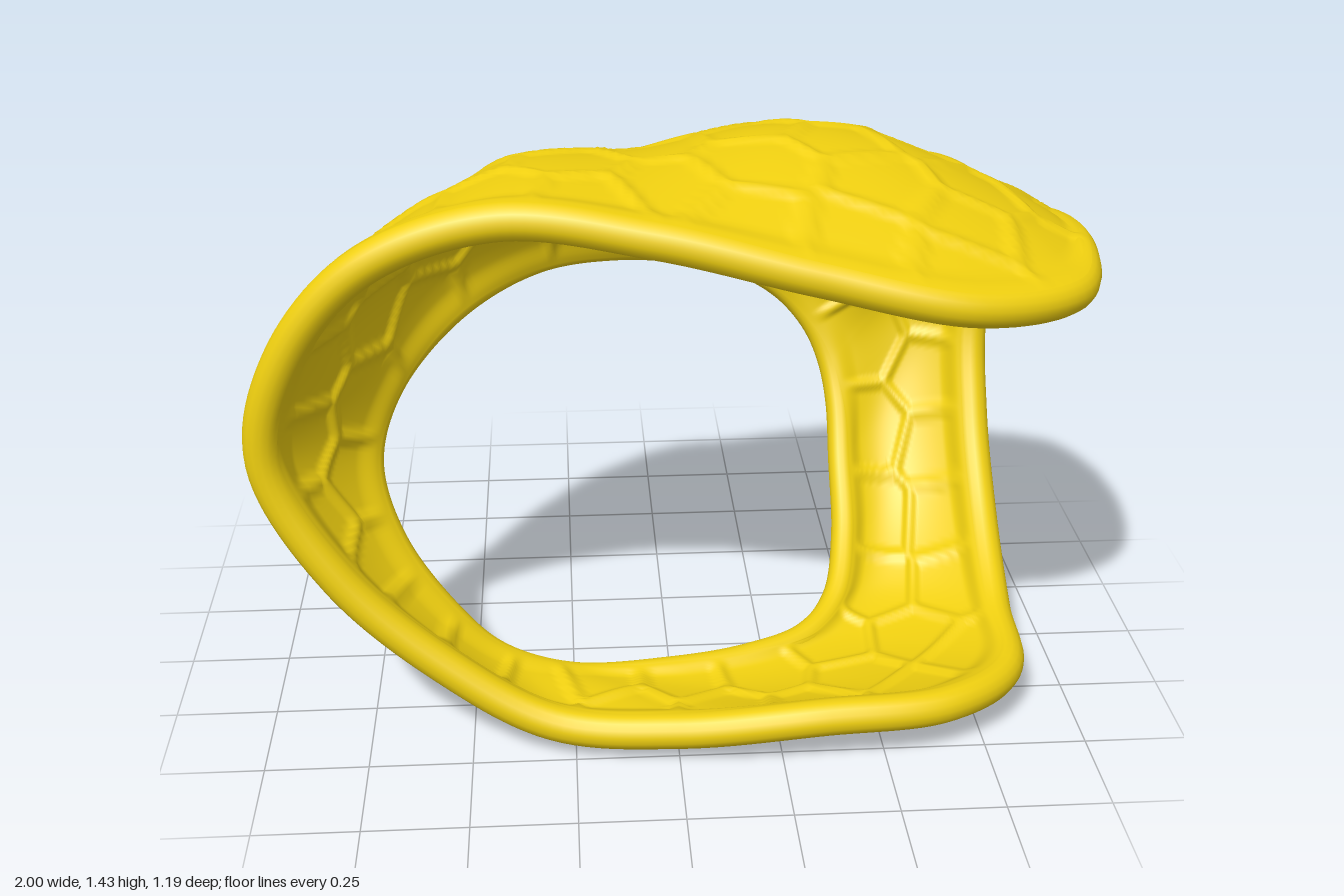
import * as THREE from 'three';

// Three matching loops of stations (left side, over the top, right side, underneath)
const FRONT = [
  [-.953, .75, .35], [-.885, 1.02, .37], [-.7, 1.24, .4], [-.4, 1.352, .43], [-.05, 1.32, .48], [.3, 1.245, .53],
  [.64, 1.175, .55], [.885, 1.155, .42], [.953, 1.17, .18], [.945, 1.11, -.16], [.91, .95, -.42], [.868, .75, -.47],
  [.86, .5, -.36], [.86, .28, -.165], [.85, .14, .09], [.825, .115, .34], [.65, .12, .495], [.35, .12, .535],
  [0, .08, .51], [-.3, .085, .465], [-.55, .22, .42], [-.8, .45, .38],
];
const MIDDLE = [
  [-.853, .68, .203], [-.795, .915, .15], [-.62, 1.125, -.035], [-.36, 1.29, -.1], [-.065, 1.32, -.09], [.24, 1.37, -.115],
  [.46, 1.345, -.15], [.605, 1.26, -.21], [.695, 1.15, -.31], [.735, 1.005, -.45], [.72, .845, -.545], [.69, .65, -.535],
  [.67, .45, -.455], [.665, .235, -.285], [.64, .1, -.085], [.58, .05, .11], [.42, .04, .27], [.2, .045, .355],
  [-.1, .065, .365], [-.37, .095, .345], [-.56, .21, .31], [-.757, .428, .26],
];
const BACK = [
  [-.745, .6, .07], [-.7, .75, -.03], [-.54, .89, -.22], [-.32, .955, -.4], [-.1, .96, -.47], [.1, .925, -.52],
  [.22, .885, -.55], [.32, .83, -.555], [.39, .77, -.55], [.45, .69, -.53], [.487, .6, -.5], [.505, .5, -.45],
  [.505, .36, -.355], [.497, .21, -.2], [.455, .11, -.04], [.36, .07, .085], [.2, .06, .165], [0, .06, .215],
  [-.26, .07, .24], [-.44, .135, .235], [-.55, .23, .21], [-.69, .42, .15],
];
const AROUND = 360, ACROSS = 84, CELLS = 72;
const FRONT_RIM = 0.045, BACK_RIM = 0.036, PANEL = 0.026, RIDGE = 0.011;
const { smoothstep, lerp } = THREE.MathUtils;

const loop = (pts) => new THREE.CatmullRomCurve3(pts.map((p) => new THREE.Vector3(...p)), true);

// Centre surface of the band: a parabola across it at every station
function sampleBand(front, middle, back) {
  const rows = [];
  for (let i = 0; i < AROUND; i++) {
    const [p, m, q] = [front, middle, back].map((c) => c.getPoint(i / AROUND));
    const row = [];
    for (let j = 0; j <= ACROSS; j++) {
      const v = j / ACROSS;
      row.push(new THREE.Vector3()
        .addScaledVector(p, (1 - v) * (1 - 2 * v))
        .addScaledVector(m, 4 * v * (1 - v))
        .addScaledVector(q, v * (2 * v - 1)));
    }
    rows.push(row);
  }
  return rows;
}

// Outward normal, with the local area as its length
function areaNormal(rows, i, j) {
  const du = rows[(i + 1) % AROUND][j].clone().sub(rows[(i + AROUND - 1) % AROUND][j]);
  const dv = rows[i][Math.min(j + 1, ACROSS)].clone().sub(rows[i][Math.max(j - 1, 0)]);
  return du.cross(dv);
}

// Evenly spread cell centres: farthest-point picks, then relaxed to centroids
function cellCentres(rows) {
  const samples = [];
  for (let i = 0; i < AROUND; i += 3) {
    for (let j = 2; j < ACROSS; j += 4) {
      samples.push({ p: rows[i][j], w: areaNormal(rows, i, j).length(), d: Infinity });
    }
  }
  const centres = [];
  let next = samples[7];
  for (let k = 0; k < CELLS; k++) {
    centres.push(next.p.clone());
    for (const s of samples) s.d = Math.min(s.d, s.p.distanceTo(centres[k]));
    next = samples.reduce((a, b) => (b.d > a.d ? b : a));
  }
  for (let pass = 0; pass < 30; pass++) {
    const sums = centres.map(() => ({ p: new THREE.Vector3(), w: 0 }));
    for (const s of samples) {
      let best = 0, dist = Infinity;
      centres.forEach((c, k) => {
        const d = c.distanceToSquared(s.p);
        if (d < dist) { best = k; dist = d; }
      });
      sums[best].p.addScaledVector(s.p, s.w);
      sums[best].w += s.w;
    }
    sums.forEach((s, k) => { if (s.w > 0) centres[k].copy(s.p).divideScalar(s.w); });
  }
  return centres;
}

// 1 on the border between two cells, fading to 0 inside a cell
function ridge(p, centres) {
  let a = null, b = null, da = Infinity, db = Infinity;
  for (const c of centres) {
    const d = c.distanceToSquared(p);
    if (d < da) { b = a; db = da; a = c; da = d; } else if (d < db) { b = c; db = d; }
  }
  const gap = (db - da) / (2 * a.distanceTo(b));
  return 1 - smoothstep(gap, 0.002, 0.025);
}

// Half the wall thickness: as thick as the rims at both edges, thinner in the panels
function wall(row, p, centres) {
  const toFront = p.distanceTo(row[0]), toBack = p.distanceTo(row[ACROSS]);
  const rim = toFront < toBack ? FRONT_RIM : BACK_RIM;
  const inner = smoothstep(Math.min(toFront, toBack), 0.01, 0.08);
  return lerp(rim, PANEL + RIDGE * ridge(p, centres), inner);
}

// One skin of the band, on the outside (+1) or the inside (-1)
function skin(rows, walls, side) {
  const pos = [], index = [], n = ACROSS + 1;
  for (let i = 0; i < AROUND; i++) {
    for (let j = 0; j <= ACROSS; j++) {
      const p = areaNormal(rows, i, j).normalize().multiplyScalar(side * walls[i][j]).add(rows[i][j]);
      pos.push(p.x, p.y, p.z);
      if (j === ACROSS) continue;
      const a = i * n + j, b = ((i + 1) % AROUND) * n + j;
      if (side > 0) index.push(a, b, a + 1, b, b + 1, a + 1);
      else index.push(a, a + 1, b, b, a + 1, b + 1);
    }
  }
  const geo = new THREE.BufferGeometry();
  geo.setAttribute('position', new THREE.Float32BufferAttribute(pos, 3));
  geo.setIndex(index);
  geo.computeVertexNormals();
  return geo;
}

export function createModel() {
  const group = new THREE.Group();
  group.name = 'curvedBand';
  const material = new THREE.MeshStandardMaterial({ color: 0xf0d010 });
  const add = (name, geometry) => {
    const mesh = new THREE.Mesh(geometry, material);
    mesh.name = name;
    group.add(mesh);
  };

  const front = loop(FRONT), back = loop(BACK);
  const rows = sampleBand(front, loop(MIDDLE), back);
  const centres = cellCentres(rows);
  const walls = rows.map((row) => row.map((p) => wall(row, p, centres)));

  // Honeycomb-ridged skins
  add('outerSkin', skin(rows, walls, 1));
  add('innerSkin', skin(rows, walls, -1));

  // Rounded rims closing both edges
  add('frontRim', new THREE.TubeGeometry(front, 240, FRONT_RIM, 16, true));
  add('backRim', new THREE.TubeGeometry(back, 200, BACK_RIM, 16, true));
  return group;
}
